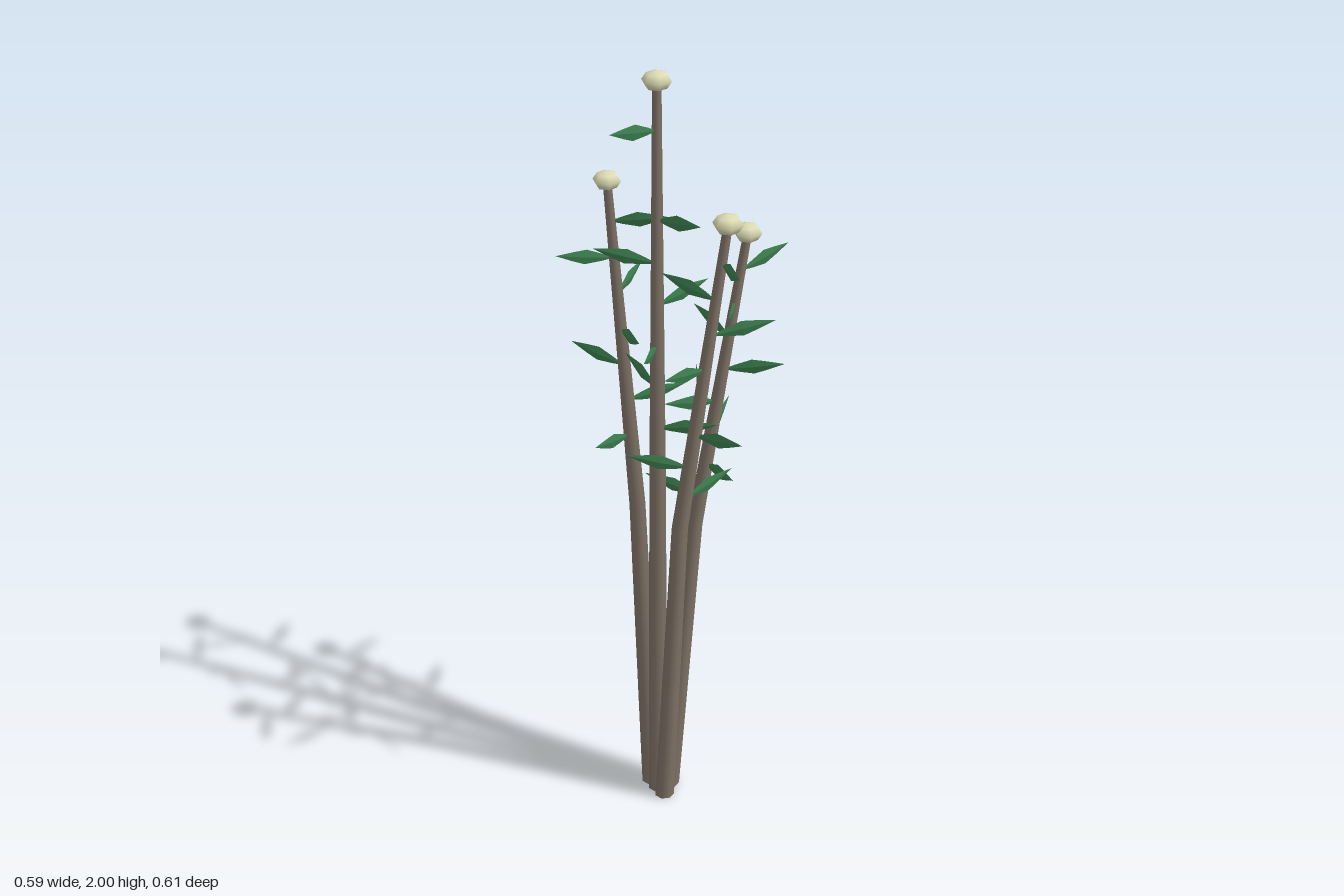
import * as THREE from 'three';

const stemMat = new THREE.MeshStandardMaterial({ color: 0x7d7165 });
const leafMat = new THREE.MeshStandardMaterial({ color: 0x3d8050, flatShading: true });
const budMat = new THREE.MeshStandardMaterial({ color: 0xdcdcb4 });

// base, bend and tip of each stem, and the compass angle of its topmost leaf
const STEMS = [
  { base: [-0.015, 0, 0.01], bend: [-0.015, 0.98, 0.01], tip: [-0.015, 1.976, 0.01], angle: 118 },
  { base: [-0.04, 0, -0.015], bend: [-0.093, 0.82, -0.075], tip: [-0.2, 1.637, -0.195], angle: 3 },
  { base: [0.01, 0, 0.035], bend: [0.063, 0.86, 0.085], tip: [0.198, 1.722, 0.18], angle: 61 },
  { base: [0.01, 0, -0.015], bend: [0.058, 0.78, -0.072], tip: [0.157, 1.55, -0.177], angle: 304.5 },
];
const RADII = [0.026, 0.021, 0.011];
const LEAVES = 8;
const GOLDEN = 137.5;

// point on a bent stem, t from 0 (ground) to 1 (tip)
function stemPoint(s, t) {
  const [a, b, u] = t < 0.5 ? [s.base, s.bend, t * 2] : [s.bend, s.tip, t * 2 - 1];
  return new THREE.Vector3(...a).lerp(new THREE.Vector3(...b), u);
}

// tapered tube: a cylinder whose rings are slid along the bent path
function stemGeometry(s) {
  const geo = new THREE.CylinderGeometry(1, 1, 1, 7, 2);
  const pos = geo.attributes.position;
  for (let i = 0; i < pos.count; i++) {
    const t = pos.getY(i) + 0.5;
    const r = RADII[Math.round(t * 2)];
    const c = stemPoint(s, t);
    pos.setXYZ(i, c.x + pos.getX(i) * r, c.y, c.z + pos.getZ(i) * r);
  }
  return geo;
}

// thin upright blade pointing along +x
function leafGeometry() {
  const profile = [[0, 0], [0.009, 0.03], [0.019, 0.075], [0.012, 0.108], [0, 0.155]];
  const geo = new THREE.LatheGeometry(profile.map(p => new THREE.Vector2(...p)), 4);
  geo.scale(1, 1, 0.2);
  geo.rotateZ(-Math.PI / 2);
  return geo;
}

export function createModel() {
  const model = new THREE.Group();
  model.name = 'plant';
  const leafGeo = leafGeometry();
  const budGeo = new THREE.SphereGeometry(0.036, 6, 4).scale(1, 0.66, 1);

  for (const s of STEMS) {
    const branch = new THREE.Group();
    branch.name = 'branch';

    const stem = new THREE.Mesh(stemGeometry(s), stemMat);
    stem.name = 'stem';
    branch.add(stem);

    // bud on the tip
    const bud = new THREE.Mesh(budGeo, budMat);
    bud.name = 'bud';
    bud.position.set(...s.tip);
    branch.add(bud);

    // leaves spiral down the upper half
    for (let k = 0; k < LEAVES; k++) {
      const leaf = new THREE.Mesh(leafGeo, leafMat);
      leaf.name = 'leaf';
      leaf.position.copy(stemPoint(s, 0.947 - 0.055 * k));
      leaf.position.y -= 0.014;
      leaf.rotation.set(0, -THREE.MathUtils.degToRad(s.angle + GOLDEN * k), 0.2);
      branch.add(leaf);
    }
    model.add(branch);
  }
  return model;
}
